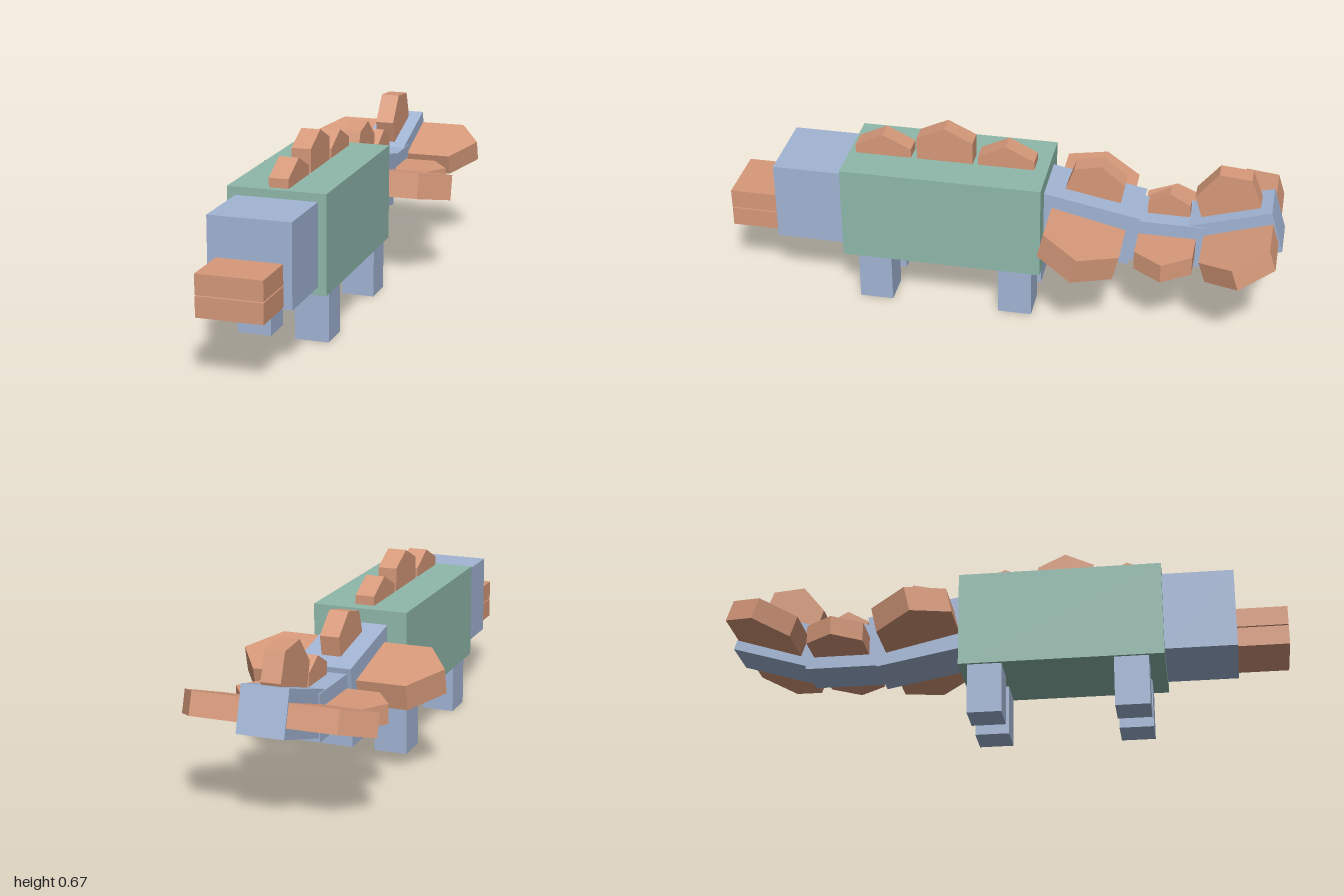
import * as THREE from 'three';

const mat = (color) => new THREE.MeshStandardMaterial({ color, flatShading: true });

export function createModel() {
  const model = new THREE.Group();
  model.name = 'platedQuadruped';
  const green = mat(0x8fb8ab), blue = mat(0xa2b5d4), orange = mat(0xd6997a);

  const add = (name, geometry, material, x, y, z, tilt = 0) => {
    const mesh = new THREE.Mesh(geometry, material);
    mesh.name = name;
    mesh.position.set(x, y, z);
    mesh.rotation.x = THREE.MathUtils.degToRad(tilt); // positive raises the back end
    model.add(mesh);
  };
  const box = (name, material, w, h, d, x, y, z, tilt) =>
    add(name, new THREE.BoxGeometry(w, h, d), material, x, y, z, tilt);
  const prism = (points, depth) => {
    const shape = new THREE.Shape(points.map(([a, b]) => new THREE.Vector2(a, b)));
    return new THREE.ExtrudeGeometry(shape, { depth, bevelEnabled: false }).translate(0, 0, -depth / 2);
  };

  // Body, head and the two halves of the snout
  box('body', green, 0.35, 0.351, 0.725, 0, 0.3585, 0.203);
  box('head', blue, 0.29, 0.293, 0.26, 0, 0.3585, 0.69);
  box('upperJaw', orange, 0.23, 0.07, 0.19, 0, 0.33, 0.905);
  box('lowerJaw', orange, 0.23, 0.071, 0.19, 0, 0.2555, 0.905);

  // Four legs
  for (const [side, s] of [['left', 1], ['right', -1]]) {
    box(side + 'FrontLeg', blue, 0.122, 0.2, 0.122, s * 0.104, 0.1, 0.45);
    box(side + 'BackLeg', blue, 0.122, 0.2, 0.122, s * 0.104, 0.1, -0.067);
  }

  // Tail segments: width, height, length, y, z, tilt
  [
    [0.206, 0.2, 0.38, 0.356, -0.2975, -10.5],
    [0.174, 0.165, 0.27, 0.3175, -0.595, 0],
    [0.166, 0.161, 0.3, 0.366, -0.8365, 17],
  ].forEach(([w, h, d, y, z, tilt], i) => box('tailSegment' + (i + 1), blue, w, h, d, 0, y, z, tilt));

  // Six-sided side plates through the tail: tip x, shoulder x, length, thickness, y, z, tilt
  [
    [0.373, 0.28, 0.273, 0.094, 0.352, -0.31, -13],
    [0.275, 0.206, 0.203, 0.07, 0.315, -0.599, 0],
    [0.34, 0.254, 0.25, 0.08, 0.366, -0.857, 18],
  ].forEach(([tip, sh, len, thick, y, z, tilt], i) => {
    const l = len / 2;
    const outline = [[tip, 0], [sh, l], [-sh, l], [-tip, 0], [-sh, -l], [sh, -l]];
    add('tailSidePlates' + (i + 1), prism(outline, thick).rotateX(-Math.PI / 2), orange, 0, y, z, tilt);
  });

  // Upright plates drawn as (z, y) outlines and extruded across x
  const upright = (name, points, width) =>
    add(name, prism(points.map(([z, y]) => [-z, y]), width).rotateY(Math.PI / 2), orange, 0, 0, 0);
  const ridge = (z, halfLength, base, shoulder, peak) => [
    [z + halfLength, base], [z - halfLength, base], [z - halfLength, shoulder], [z, peak], [z + halfLength, shoulder],
  ];

  // Back plates
  upright('frontBackPlate', ridge(0.439, 0.102, 0.5, 0.567, 0.617), 0.07);
  upright('middleBackPlate', ridge(0.213, 0.102, 0.5, 0.617, 0.665), 0.07);
  upright('rearBackPlate', ridge(-0.01, 0.102, 0.5, 0.567, 0.617), 0.07);

  // Tail plates
  upright('tailTopPlate1', [[-0.215, 0.44], [-0.416, 0.39], [-0.437, 0.505], [-0.351, 0.575], [-0.254, 0.553]], 0.07);
  upright('tailTopPlate2', ridge(-0.596, 0.075, 0.37, 0.445, 0.487), 0.05);
  upright('tailTopPlate3', [[-0.72, 0.385], [-0.9, 0.44], [-0.916, 0.483], [-0.878, 0.58], [-0.764, 0.59], [-0.686, 0.494]], 0.07);

  return model;
}
